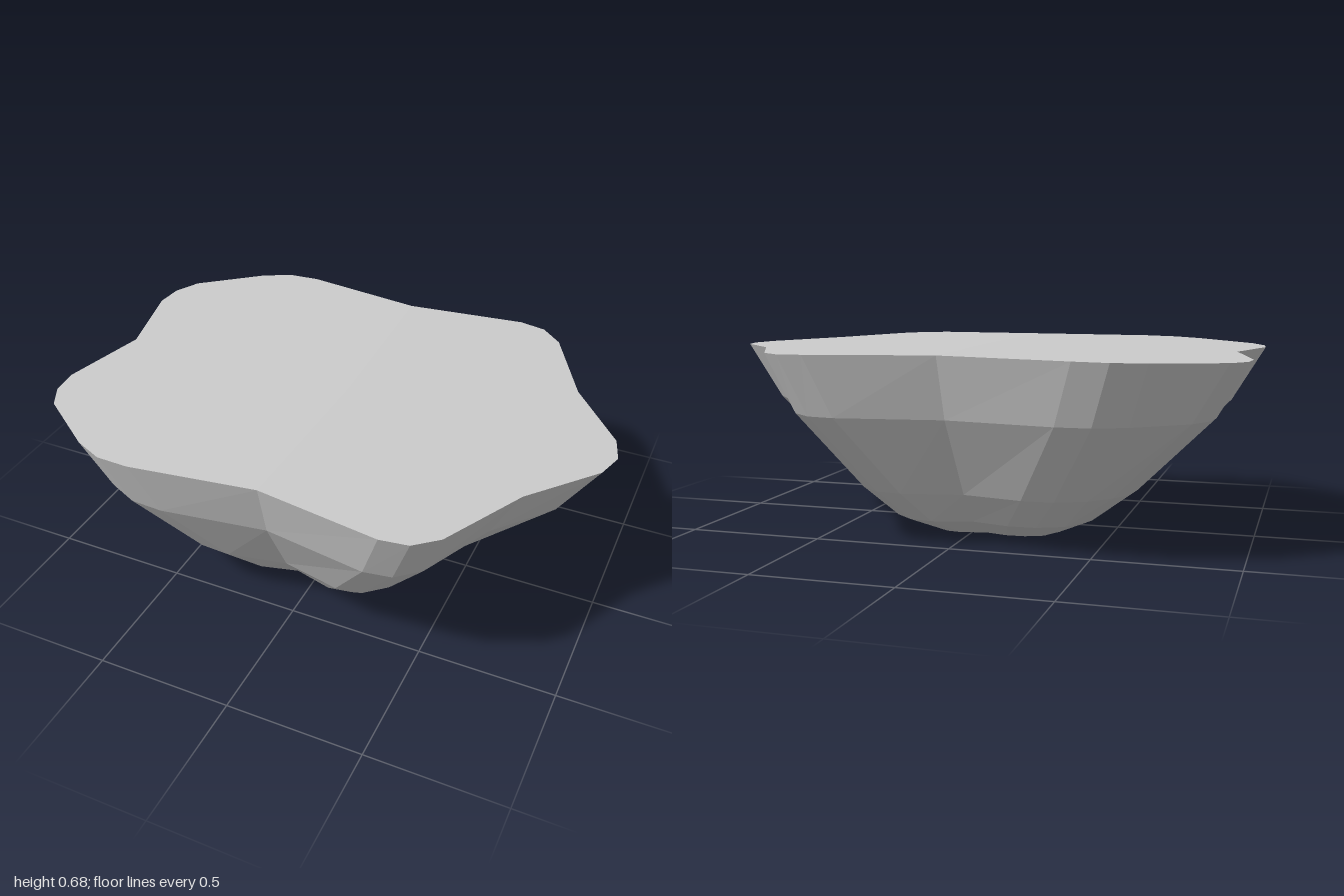
import * as THREE from 'three';

// Half of the lobed outline from the +x tip round to -x: [corner x, corner z, offset x, offset z].
// Corners follow the level scale; offsets round each lobe off at an almost constant width.
const HALF = [
  [0.97, 0, 0.03, 0], [0.97, 0, 0, 0.1],
  [0.77, 0.34, 0, 0],
  [0.53, 0.72, 0.08, -0.07], [0.53, 0.72, 0, 0], [0.53, 0.72, -0.1, 0.016],
  [-0.02, 0.675, 0, 0],
  [-0.6, 0.73, 0.12, 0.006], [-0.6, 0.73, 0, 0], [-0.6, 0.73, -0.11, -0.05],
  [-0.99, 0.42, 0.05, 0.09], [-0.99, 0.42, 0, 0], [-0.99, 0.42, -0.01, -0.1],
  [-0.92, 0, 0, 0],
];

// Levels from the foot to the rim: height, x shift, x scale, z scale, lobe offset scale
const LEVELS = [
  [0, -0.045, 0.265, 0.335, 0.6],
  [0.07, -0.035, 0.415, 0.54, 0.85],
  [0.185, -0.03, 0.57, 0.68, 0.95],
  [0.465, -0.01, 0.87, 0.91, 1],
  [null, 0, 1, 1, 1],
];

// The top face sags slightly towards both ends
const topHeight = (x) => 0.684 - 0.018 * x * x;

function ring([y, shift, sx, sz, so]) {
  const half = HALF.map(([cx, cz, ox, oz]) => {
    const x = shift + cx * sx + ox * so;
    return new THREE.Vector3(x, y ?? topHeight(x), -(cz * sz + oz * so));
  });
  const mirrored = half.slice(1, -1).reverse().map((p) => new THREE.Vector3(p.x, p.y, -p.z));
  return [...half, ...mirrored];
}

function facetedMesh(name, triangles) {
  const geometry = new THREE.BufferGeometry().setFromPoints(triangles);
  geometry.computeVertexNormals();
  const mesh = new THREE.Mesh(geometry, new THREE.MeshStandardMaterial({ color: 0xcccccc, flatShading: true }));
  mesh.name = name;
  return mesh;
}

// Band of quads between a ring and the one above it (or inside it, on the top)
function band(low, high) {
  return low.flatMap((p, i) => {
    const j = (i + 1) % low.length;
    return [p, low[j], high[j], p, high[j], high[i]];
  });
}

function fan(center, points, up) {
  return points.flatMap((p, i) => {
    const q = points[(i + 1) % points.length];
    return up ? [center, p, q] : [center, q, p];
  });
}

export function createModel() {
  const group = new THREE.Group();
  group.name = 'lobedRock';
  const rings = LEVELS.map(ring);
  const rim = rings[rings.length - 1];

  // Sloping flanks
  const flanks = [];
  for (let i = 0; i < rings.length - 1; i++) flanks.push(...band(rings[i], rings[i + 1]));
  group.add(facetedMesh('flanks', flanks));

  // Flat foot
  group.add(facetedMesh('foot', fan(new THREE.Vector3(-0.045, 0, 0), rings[0], false)));

  // Gently crowned top
  const inner = rim.map((p) => new THREE.Vector3(p.x * 0.5, topHeight(p.x * 0.5), p.z * 0.5));
  const top = [...band(rim, inner), ...fan(new THREE.Vector3(0, topHeight(0), 0), inner, true)];
  group.add(facetedMesh('topSurface', top));

  return group;
}
